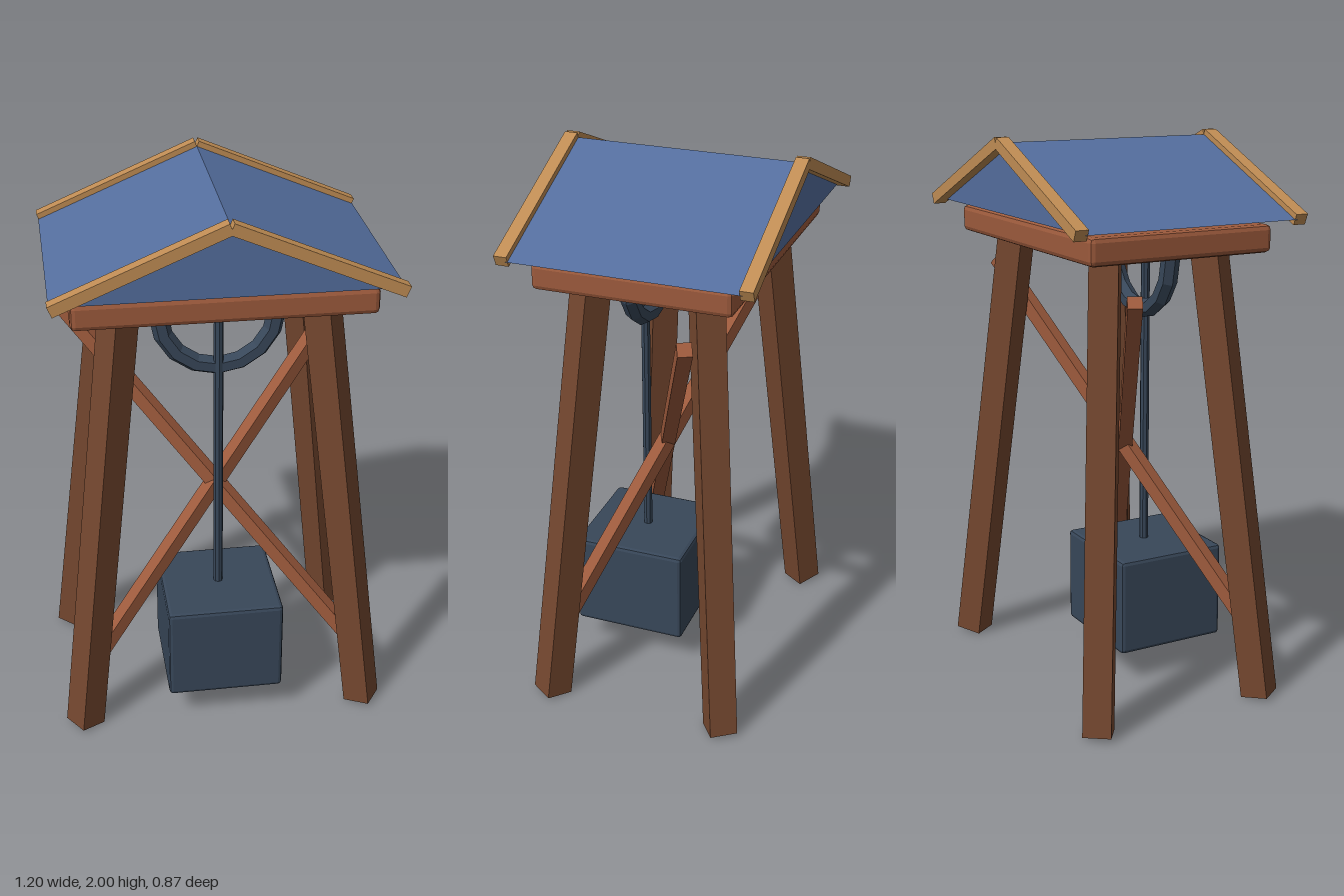
import * as THREE from 'three';
import { RoundedBoxGeometry } from 'three/addons/geometries/RoundedBoxGeometry.js';

const paint = (color) => new THREE.MeshStandardMaterial({ color, flatShading: true });
const legWood = paint(0x74472f);
const deckWood = paint(0x9c5a3c);
const trimWood = paint(0xc08d54);
const roofBlue = paint(0x546e9e);
const iron = paint(0x384759);

export function createModel() {
  const model = new THREE.Group();

  const add = (name, geometry, material, x = 0, y = 0, z = 0) => {
    const mesh = new THREE.Mesh(geometry, material);
    mesh.name = name;
    mesh.position.set(x, y, z);
    model.add(mesh);
    return mesh;
  };

  // Rectangular beam running between two points
  const beam = (name, from, to, width, height, material) => {
    const a = new THREE.Vector3(...from);
    const b = new THREE.Vector3(...to);
    const mesh = add(name, new THREE.BoxGeometry(width, height, a.distanceTo(b)), material);
    mesh.position.copy(a).lerp(b, 0.5);
    mesh.lookAt(b);
    return mesh;
  };

  for (const sx of [1, -1]) {
    const side = sx > 0 ? 'left' : 'right';
    // Splayed legs
    for (const sz of [1, -1]) {
      beam(`${side}${sz > 0 ? 'Front' : 'Back'}Leg`,
        [sx * 0.53, 0.008, sz * 0.332], [sx * 0.34, 1.66, sz * 0.2], 0.1, 0.1, legWood);
      // Edge boards of the roof, meeting at the ridge
      beam(`${side}${sz > 0 ? 'Front' : 'Back'}RoofTrim`,
        [sx * 0.578, 1.735, sz * 0.414], [0, 1.98, sz * 0.414], 0.046, 0.04, trimWood);
    }
    // Diagonal braces from the back legs down to the opposite front legs
    beam(`${side}Brace`, [sx * 0.53, 1.5, -0.195], [-sx * 0.49, 0.265, 0.31], 0.05, 0.05, deckWood);
  }

  // Platform on top of the legs
  add('platform', new RoundedBoxGeometry(1.025, 0.096, 0.695, 1, 0.018), deckWood, 0, 1.667, 0);

  // Solid gabled roof
  const gable = new THREE.Shape([
    new THREE.Vector2(-0.58, 1.735),
    new THREE.Vector2(0.58, 1.735),
    new THREE.Vector2(0, 1.98),
  ]);
  add('roof', new THREE.ExtrudeGeometry(gable, { depth: 0.8, bevelEnabled: false }), roofBlue, 0, 0, -0.4);

  // Pulley ring, rope and hanging weight
  add('pulleyRing', new THREE.TorusGeometry(0.205, 0.034, 6, 16), iron, 0, 1.57, 0.132);
  add('rope', new THREE.CylinderGeometry(0.017, 0.017, 1.115, 8), iron, 0, 1.008, 0.15);
  add('weight', new RoundedBoxGeometry(0.425, 0.36, 0.425, 1, 0.014), iron, 0, 0.294, 0.15);

  return model;
}
